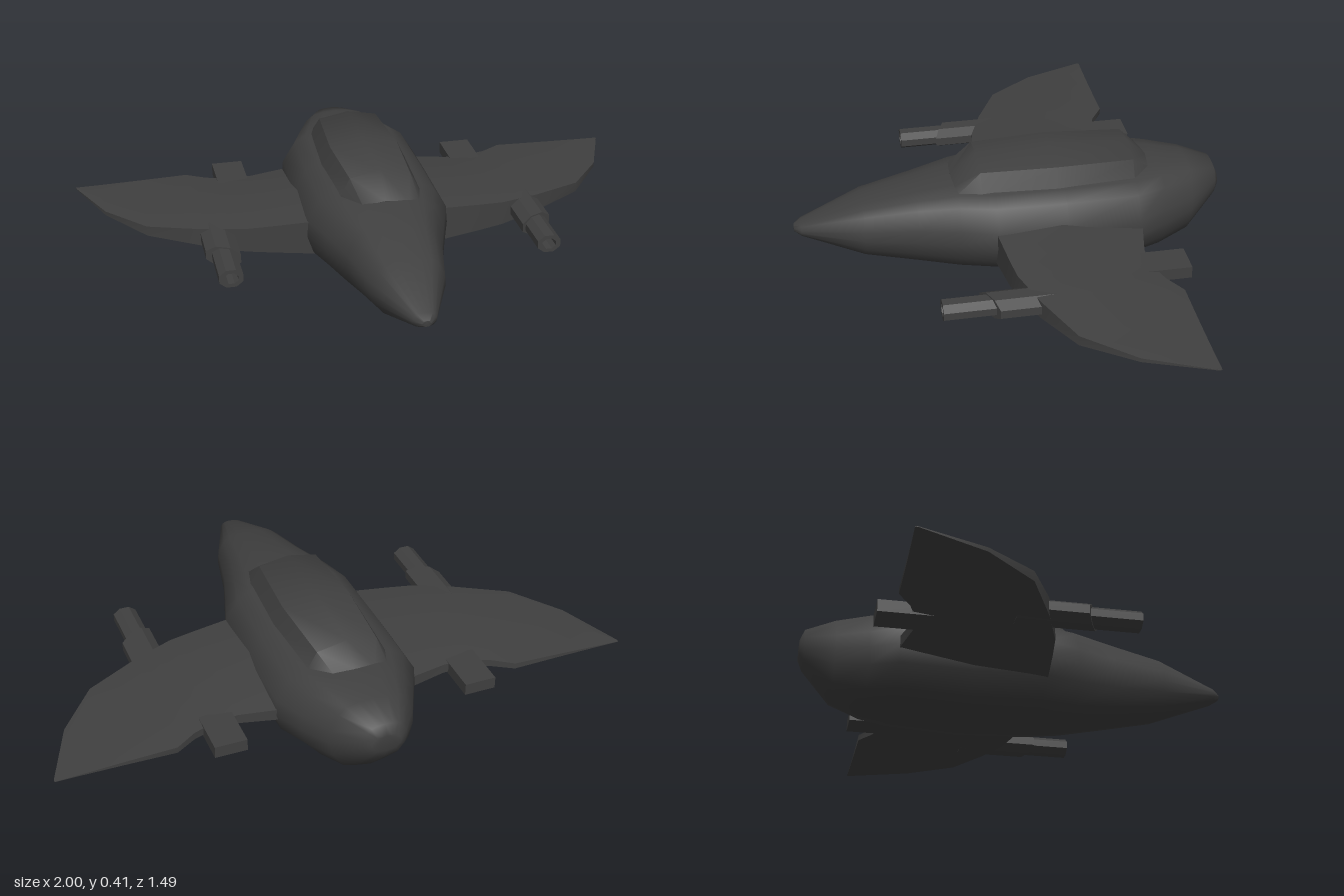
import * as THREE from 'three';
import { toCreasedNormals } from 'three/addons/utils/BufferGeometryUtils.js';

const hull = new THREE.MeshStandardMaterial({ color: 0x404040 });

// Skin a list of equal-length closed rings and cap both ends.
function loft(rings, crease) {
  const n = rings[0].length;
  const index = [];
  for (let i = 0; i < rings.length - 1; i++) {
    for (let j = 0; j < n; j++) {
      const k = (j + 1) % n;
      const a = i * n + j, b = i * n + k, c = a + n, d = b + n;
      index.push(a, b, c, b, d, c);
    }
  }
  const last = (rings.length - 1) * n;
  for (let j = 1; j < n - 1; j++) {
    index.push(0, j + 1, j, last, last + j, last + j + 1);
  }
  const g = new THREE.BufferGeometry();
  g.setAttribute('position', new THREE.Float32BufferAttribute(rings.flat(2), 3));
  g.setIndex(index);
  g.computeVertexNormals();
  return crease ? toCreasedNormals(g, crease) : g;
}

function add(parent, name, geometry) {
  const mesh = new THREE.Mesh(geometry, hull);
  mesh.name = name;
  parent.add(mesh);
  return mesh;
}

// Full ring from a half profile running from the top centre to the bottom centre.
function mirrorRing(half) {
  return [...half, ...half.slice(1, -1).reverse().map(([x, y, z]) => [-x, y, z])];
}

function fuselage() {
  const profile = [[0, 1], [0.35, 0.97], [0.62, 0.9], [0.8, 0.74], [0.98, 0.3],
    [1, -0.05], [0.92, -0.43], [0.65, -0.83], [0.33, -0.93], [0, -1]];
  // z, half width, bottom, top
  const stations = [
    [0.745, 0.015, 0.17, 0.19], [0.72, 0.04, 0.155, 0.205], [0.51, 0.125, 0.077, 0.28],
    [0.33, 0.165, 0.042, 0.315], [0.19, 0.21, 0.02, 0.34], [0.07, 0.25, 0.014, 0.345],
    [-0.17, 0.255, 0.003, 0.345], [-0.42, 0.25, 0.016, 0.345], [-0.52, 0.2, 0.022, 0.34],
    [-0.63, 0.145, 0.055, 0.325], [-0.73, 0.075, 0.165, 0.295], [-0.745, 0.05, 0.2, 0.26]];
  return loft(stations.map(([z, w, lo, hi]) => mirrorRing(profile.map(
    ([x, y]) => [x * w, (lo + hi) / 2 + y * (hi - lo) / 2, z]))), 1.0);
}

function canopy() {
  // z, shoulder half width, base half width, shoulder height, crown height
  const stations = [[0.2, 0.08, 0.12, 0.33, 0.34], [0.11, 0.105, 0.145, 0.392, 0.413],
    [-0.15, 0.12, 0.157, 0.395, 0.416], [-0.42, 0.105, 0.145, 0.388, 0.408],
    [-0.49, 0.07, 0.12, 0.33, 0.342]];
  return loft(stations.map(([z, s, b, ys, yc]) => mirrorRing(
    [[0, yc, z], [s, ys, z], [b, 0.315, z], [0, 0.29, z]])), 0.8);
}

function wing(side) {
  // x, leading edge z, trailing edge z
  const stations = [[0.2, 0.08, -0.43], [0.25, 0.075, -0.425], [0.37, 0.062, -0.4],
    [0.46, 0.05, -0.405], [0.53, 0.025, -0.43], [0.6, 0, -0.475], [0.78, -0.085, -0.476],
    [0.91, -0.25, -0.478], [1, -0.47, -0.48]];
  // Wedge section: fraction from trailing to leading edge, height at the root
  const section = [[0, 0.022], [0.55, 0.065], [1, 0.05], [1, -0.07], [0.5, -0.058], [0, -0.018]];
  const rings = stations.map(([x, le, te]) => {
    const k = Math.max(0.02, (1 - x) / 0.75);
    return section.map(([t, y]) => [side * x, 0.175 + y * k, te + (le - te) * t]);
  });
  return loft(side > 0 ? rings : rings.reverse(), 0.6);
}

// Octagonal prism along z, optionally bored through.
function prism(rx, ry, depth, bore) {
  const ring = (f) => Array.from({ length: 8 }, (_, i) => {
    const a = (i + 0.5) * Math.PI / 4;
    const s = f / Math.cos(Math.PI / 8);
    return new THREE.Vector2(Math.cos(a) * rx * s, Math.sin(a) * ry * s);
  });
  const shape = new THREE.Shape(ring(1));
  if (bore) shape.holes.push(new THREE.Path(ring(bore)));
  return new THREE.ExtrudeGeometry(shape, { depth, bevelEnabled: false });
}

function engineGun(side) {
  const group = new THREE.Group();
  // Housing, its front face slanting back toward the wing tip
  const housing = prism(0.056, 0.036, 0.255);
  const p = housing.attributes.position;
  for (let i = 0; i < p.count; i++) {
    if (p.getZ(i) > 0.2) p.setZ(i, 0.255 - side * p.getX(i) * 0.45);
  }
  housing.computeVertexNormals();
  add(group, 'gunHousing', housing).position.set(side * 0.549, 0.17, -0.1);
  add(group, 'gunBarrel', prism(0.04, 0.031, 0.19, 0.6)).position.set(side * 0.545, 0.17, 0.12);
  return group;
}

export function createModel() {
  const model = new THREE.Group();
  model.name = 'aircraft';
  add(model, 'fuselage', fuselage());
  add(model, 'canopy', canopy());
  for (const side of [1, -1]) {
    const label = side > 0 ? 'left' : 'right';
    add(model, label + 'Wing', wing(side));
    const gun = engineGun(side);
    gun.name = label + 'Gun';
    model.add(gun);
    // Exhaust block on the trailing edge
    add(model, label + 'Exhaust', new THREE.BoxGeometry(0.11, 0.042, 0.2))
      .position.set(side * 0.44, 0.175, -0.43);
  }
  return model;
}
